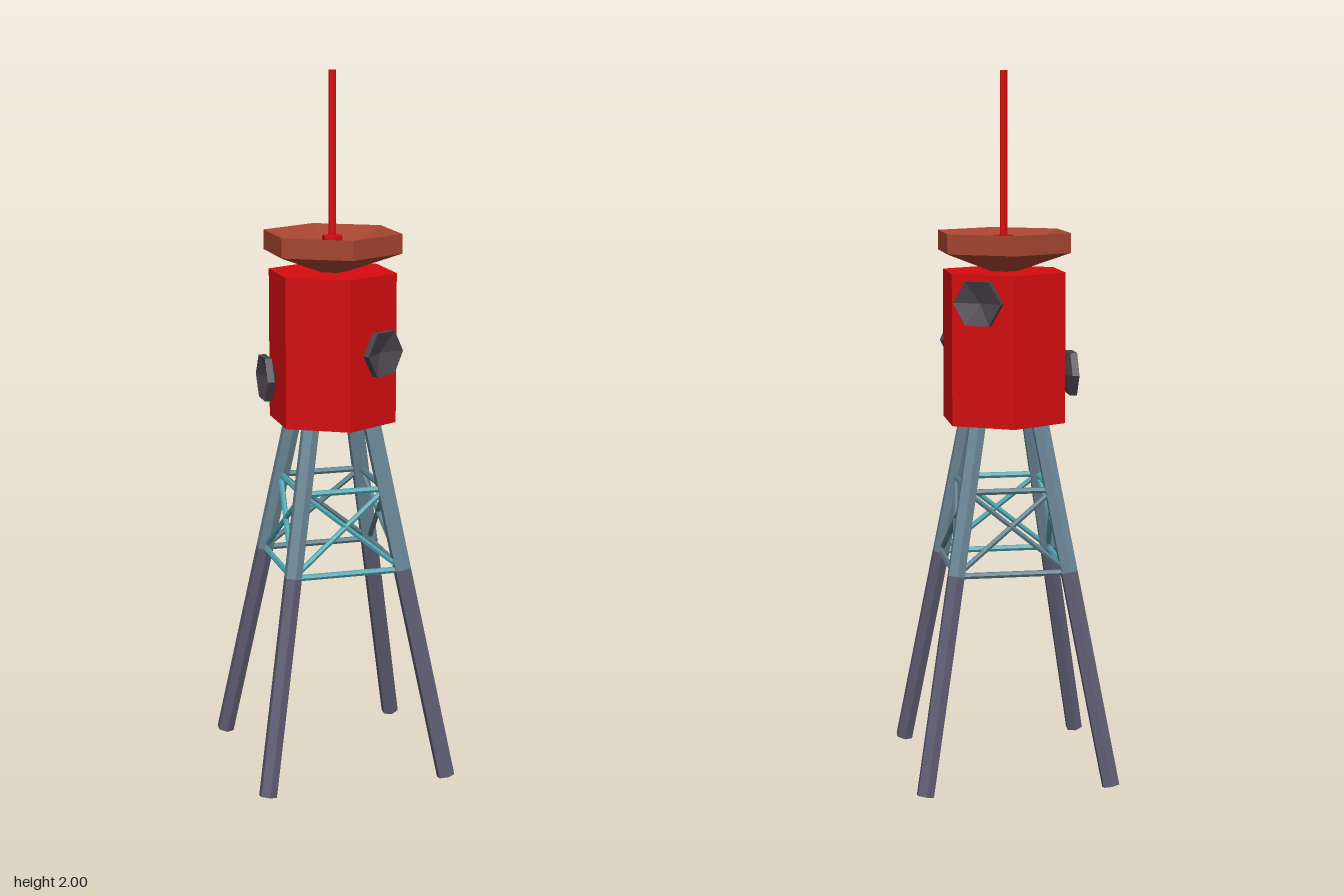
import * as THREE from 'three';

const mat = (name, color) => {
  const m = new THREE.MeshStandardMaterial({ color, flatShading: true });
  m.name = name;
  return m;
};

export function createModel() {
  const red = mat('red', 0xd60c0e);
  const rust = mat('rust', 0xa6452f);
  const charcoal = mat('charcoal', 0x4b444c);
  const legGrey = mat('leg grey', 0x5f5d73);
  const slate = mat('slate blue', 0x6b8897);
  const teal = mat('teal', 0x4fa5b0);
  const dullTeal = mat('dull teal', 0x5a7c88);

  const root = new THREE.Group();
  root.name = 'radioTower';

  const add = (name, geometry, material, parent = root) => {
    const mesh = new THREE.Mesh(geometry, material);
    mesh.name = name;
    parent.add(mesh);
    return mesh;
  };

  // Hexagonal rod between two points
  const up = new THREE.Vector3(0, 1, 0);
  const rod = (name, a, b, radius, material, parent) => {
    const dir = b.clone().sub(a);
    const mesh = add(name, new THREE.CylinderGeometry(radius, radius, dir.length(), 6), material, parent);
    mesh.position.copy(a).add(b).multiplyScalar(0.5);
    mesh.quaternion.setFromUnitVectors(up, dir.normalize());
  };

  // Six-sided dish: apex at the origin, opening upward
  const dishGeometry = (radius, depth, rim) => new THREE.LatheGeometry([
    new THREE.Vector2(0, 0),
    new THREE.Vector2(radius, depth),
    new THREE.Vector2(radius, depth + rim),
    new THREE.Vector2(0, rim),
  ], 6);

  // Distance of the leg axis from the centre planes at a height
  const spread = (y) => 0.265 - 0.172 * y;

  // Four leaning legs in two colours
  for (const sx of [-1, 1]) {
    for (const sz of [-1, 1]) {
      const at = (y) => new THREE.Vector3(sx * spread(y), y, sz * spread(y));
      rod('lowerLeg', at(0.006), at(0.605), 0.026, legGrey);
      rod('upperLeg', at(0.605), at(1.04), 0.026, slate);
    }
  }

  // Cross bracing on each side of the tower
  const low = 0.605, high = 0.835;
  for (let i = 0; i < 4; i++) {
    const side = new THREE.Group();
    side.name = 'bracing';
    side.rotation.y = i * Math.PI / 2;
    root.add(side);
    const material = i === 0 || i === 3 ? teal : dullTeal;
    const at = (s, y) => new THREE.Vector3(s * spread(y), y, spread(y));
    for (const y of [low, high]) rod('crossBeam', at(-1, y), at(1, y), 0.009, material, side);
    for (const s of [-1, 1]) rod('diagonalBrace', at(s, low), at(-s, high), 0.008, material, side);
  }

  // Cabin
  add('cabin', new THREE.CylinderGeometry(0.185, 0.185, 0.425, 6), red).position.y = 1.2325;

  // Roof dish with antenna
  add('roofDish', dishGeometry(0.2, 0.07, 0.055), rust).position.y = 1.43;
  add('antennaBase', new THREE.CylinderGeometry(0.03, 0.03, 0.11, 6), red).position.y = 1.49;
  add('antenna', new THREE.CylinderGeometry(0.011, 0.011, 0.5, 6), red).position.y = 1.75;

  // Small dishes on three cabin faces: [heading in degrees, height]
  const smallDish = dishGeometry(0.07, 0.024, 0.02).rotateY(Math.PI / 2).rotateX(Math.PI / 2);
  for (const [heading, y] of [[30, 1.235], [150, 1.37], [-90, 1.15]]) {
    const mount = new THREE.Group();
    mount.name = 'dishMount';
    mount.rotation.y = THREE.MathUtils.degToRad(heading);
    mount.position.y = y;
    root.add(mount);
    add('sideDish', smallDish, charcoal, mount).position.z = 0.162;
  }

  return root;
}
